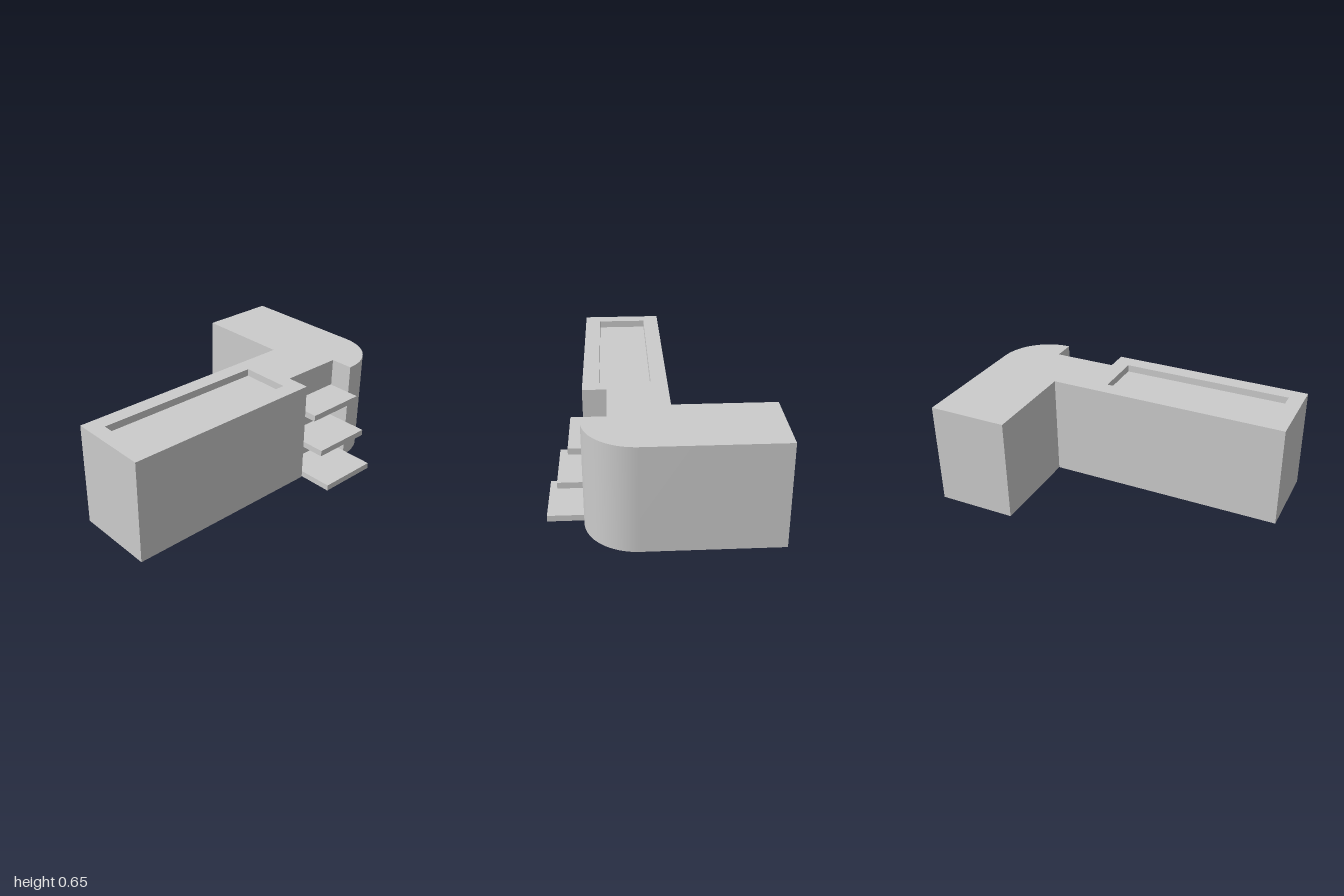
import * as THREE from 'three';
import { toCreasedNormals } from 'three/addons/utils/BufferGeometryUtils.js';

const HEIGHT = 0.65, BASIN_FLOOR = 0.605;
const shell = new THREE.MeshStandardMaterial({ color: 0xcccccc, side: THREE.DoubleSide });
const solid = new THREE.MeshStandardMaterial({ color: 0xcccccc });

// Plan shapes are drawn as (x, -z), so they lie flat after this turn
function flat(shape, y) {
  return new THREE.ShapeGeometry(shape, 10).rotateX(-Math.PI / 2).translate(0, y, 0);
}

// Upright wall that follows a closed plan outline
function wall(points, y0, y1) {
  const pos = [];
  points.forEach((a, i) => {
    const b = points[(i + 1) % points.length];
    if (a.distanceTo(b) < 1e-5) return;
    pos.push(a.x, y0, -a.y, b.x, y0, -b.y, b.x, y1, -b.y);
    pos.push(a.x, y0, -a.y, b.x, y1, -b.y, a.x, y1, -a.y);
  });
  const geo = new THREE.BufferGeometry();
  geo.setAttribute('position', new THREE.Float32BufferAttribute(pos, 3));
  return toCreasedNormals(geo, Math.PI / 6);
}

export function createModel() {
  const group = new THREE.Group();
  const add = (name, geo, mat) => {
    const mesh = new THREE.Mesh(geo, mat);
    mesh.name = name;
    group.add(mesh);
  };

  // L-shaped plan with a stair notch and one rounded corner
  const plan = new THREE.Shape();
  plan.moveTo(-1, -0.455);
  plan.lineTo(0.28, -0.455);
  plan.lineTo(0.28, -0.31);
  plan.lineTo(0.68, -0.31);
  plan.lineTo(0.68, -0.455);
  plan.absarc(0.69, -0.145, 0.31, -Math.PI / 2, 0, false);
  plan.lineTo(1, 0.67);
  plan.lineTo(0.505, 0.67);
  plan.lineTo(0.505, 0.055);
  plan.lineTo(-1, 0.055);
  plan.closePath();

  // Basin outline, clockwise so its walls face inward
  const basin = [[-0.905, -0.355], [-0.905, -0.045], [0.18, -0.045], [0.18, -0.355]]
    .map(([x, y]) => new THREE.Vector2(x, y));

  // Hollow body, open below
  add('bodyWalls', wall(plan.getPoints(10), 0, HEIGHT), shell);
  plan.holes.push(new THREE.Path(basin));
  add('deck', flat(plan, HEIGHT), shell);

  // Shallow sunken basin
  add('basinWalls', wall(basin, BASIN_FLOOR, HEIGHT), shell);
  add('basinFloor', flat(new THREE.Shape(basin), BASIN_FLOOR), shell);

  // Steps: bottom height and front edge; each runs through the notch's back wall
  const back = 0.26, thick = 0.038;
  [[0, 0.67], [0.22, 0.6], [0.438, 0.53]].forEach(([y, front], i) => {
    const geo = new THREE.BoxGeometry(0.39, thick, front - back);
    geo.translate(0.48, y + thick / 2, (front + back) / 2);
    add(`step${i + 1}`, geo, solid);
  });

  return group;
}
